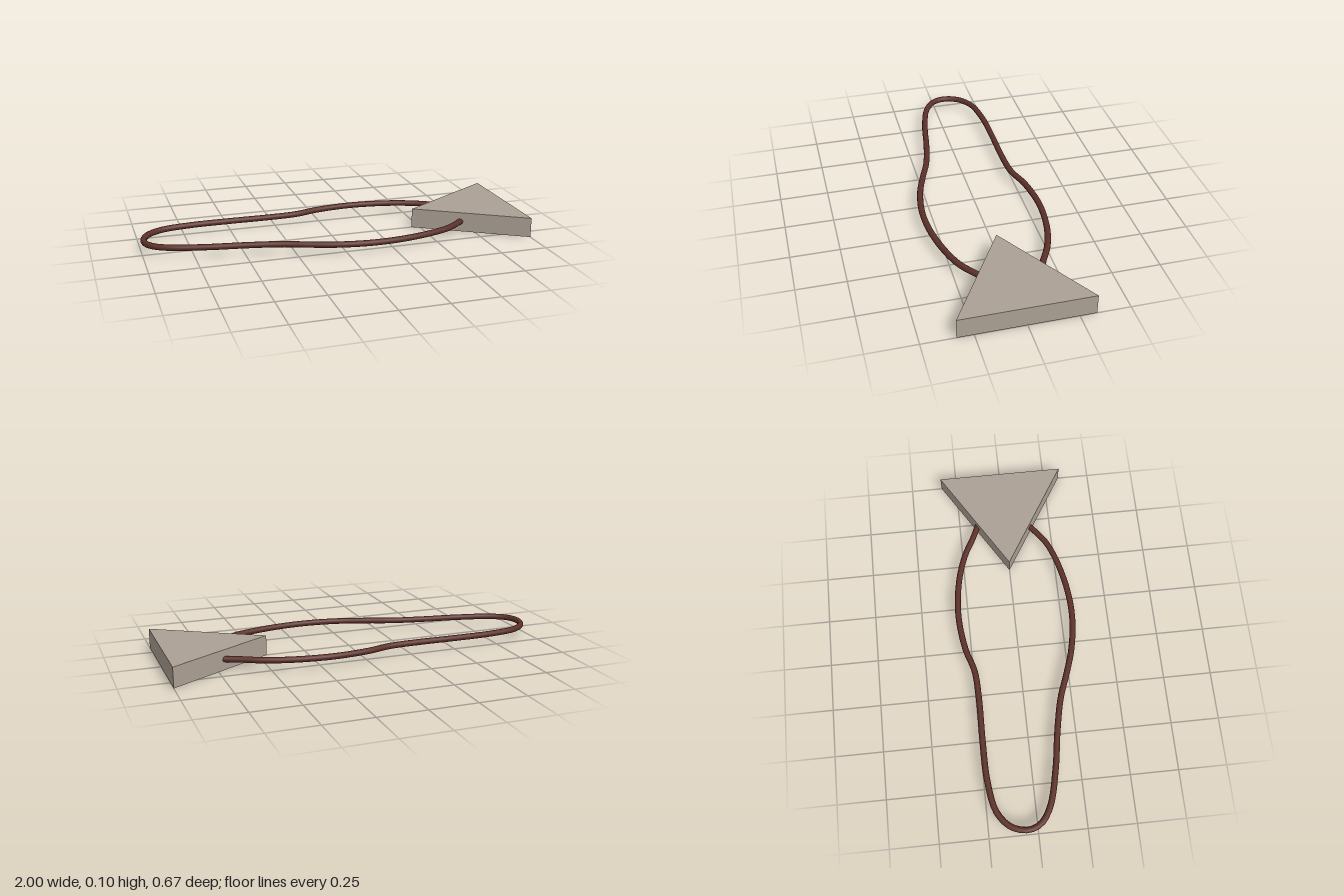
import * as THREE from 'three';

export function createModel() {
  const group = new THREE.Group();
  const stone = new THREE.MeshStandardMaterial({ color: 0xaba094 });
  stone.name = 'stone';
  const leather = new THREE.MeshStandardMaterial({ color: 0x5c3029 });
  leather.name = 'leather';

  // Flat triangular pendant, its point towards the cord loop
  const triangle = new THREE.Shape([
    new THREE.Vector2(0.455, 0),
    new THREE.Vector2(1, -0.333),
    new THREE.Vector2(1, 0.333),
  ]);
  const prism = new THREE.ExtrudeGeometry(triangle, { depth: 0.105, bevelEnabled: false });
  prism.rotateX(-Math.PI / 2);
  const pendant = new THREE.Mesh(prism, stone);
  pendant.name = 'pendant';
  group.add(pendant);

  // Cord loop lying flat, both ends sunk into the pendant's slanted sides (x, z)
  const path = [
    [0.7, 0.118], [0.66, 0.153], [0.56, 0.222], [0.35, 0.286], [0.14, 0.305],
    [-0.05, 0.28], [-0.195, 0.235], [-0.32, 0.19], [-0.495, 0.152], [-0.69, 0.12],
    [-0.88, 0.07], [-0.96, 0.015], [-0.984, -0.05], [-0.96, -0.135], [-0.88, -0.2],
    [-0.72, -0.231], [-0.505, -0.236], [-0.29, -0.234], [-0.13, -0.243], [0, -0.281],
    [0.2, -0.302], [0.4, -0.28], [0.55, -0.233], [0.64, -0.185], [0.73, -0.145],
  ];
  const curve = new THREE.CatmullRomCurve3(path.map(([x, z]) => new THREE.Vector3(x, 0.055, z)));
  const cord = new THREE.Mesh(new THREE.TubeGeometry(curve, 120, 0.016, 12), leather);
  cord.name = 'cord';
  group.add(cord);

  // Rounded cord ends
  for (const t of [0, 1]) {
    const end = new THREE.Mesh(new THREE.SphereGeometry(0.016, 12, 8), leather);
    end.position.copy(curve.getPoint(t));
    end.name = 'cordEnd';
    group.add(end);
  }
  return group;
}
